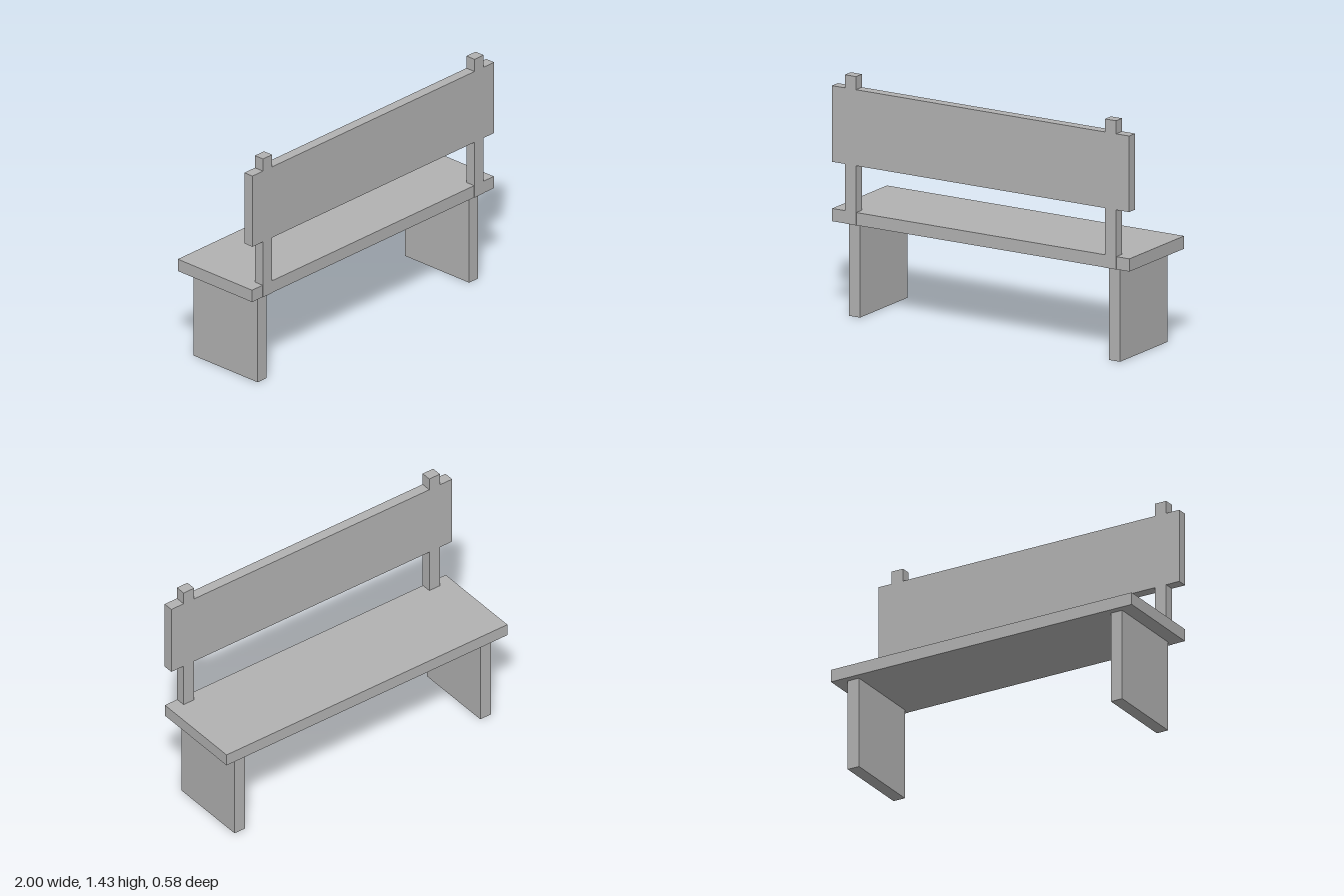
import * as THREE from 'three';

export function createModel() {
  const bench = new THREE.Group();
  bench.name = 'bench';
  const grey = new THREE.MeshStandardMaterial({ color: 0xb2b2b2 });
  grey.name = 'plain grey';

  // Box given by its lowest and highest corner
  function box(name, [x0, y0, z0], [x1, y1, z1]) {
    const mesh = new THREE.Mesh(new THREE.BoxGeometry(x1 - x0, y1 - y0, z1 - z0), grey);
    mesh.position.set((x0 + x1) / 2, (y0 + y1) / 2, (z0 + z1) / 2);
    mesh.name = name;
    bench.add(mesh);
  }

  // Seat board and back board
  box('seat', [-1, 0.553, -0.29], [1, 0.628, 0.289]);
  box('backBoard', [-1, 0.904, 0.229], [1, 1.352, 0.292]);

  // Slab legs, and back posts that stand flush with the back board
  for (const [side, x] of [['left', 0.875], ['right', -0.875]]) {
    const x0 = x - 0.0375, x1 = x + 0.0375;
    box(side + 'Leg', [x0, 0, -0.25], [x1, 0.553, 0.25]);
    box(side + 'LowerPost', [x0, 0.553, 0.229], [x1, 0.904, 0.292]);
    box(side + 'PostTop', [x0, 1.352, 0.229], [x1, 1.429, 0.292]);
  }
  return bench;
}
